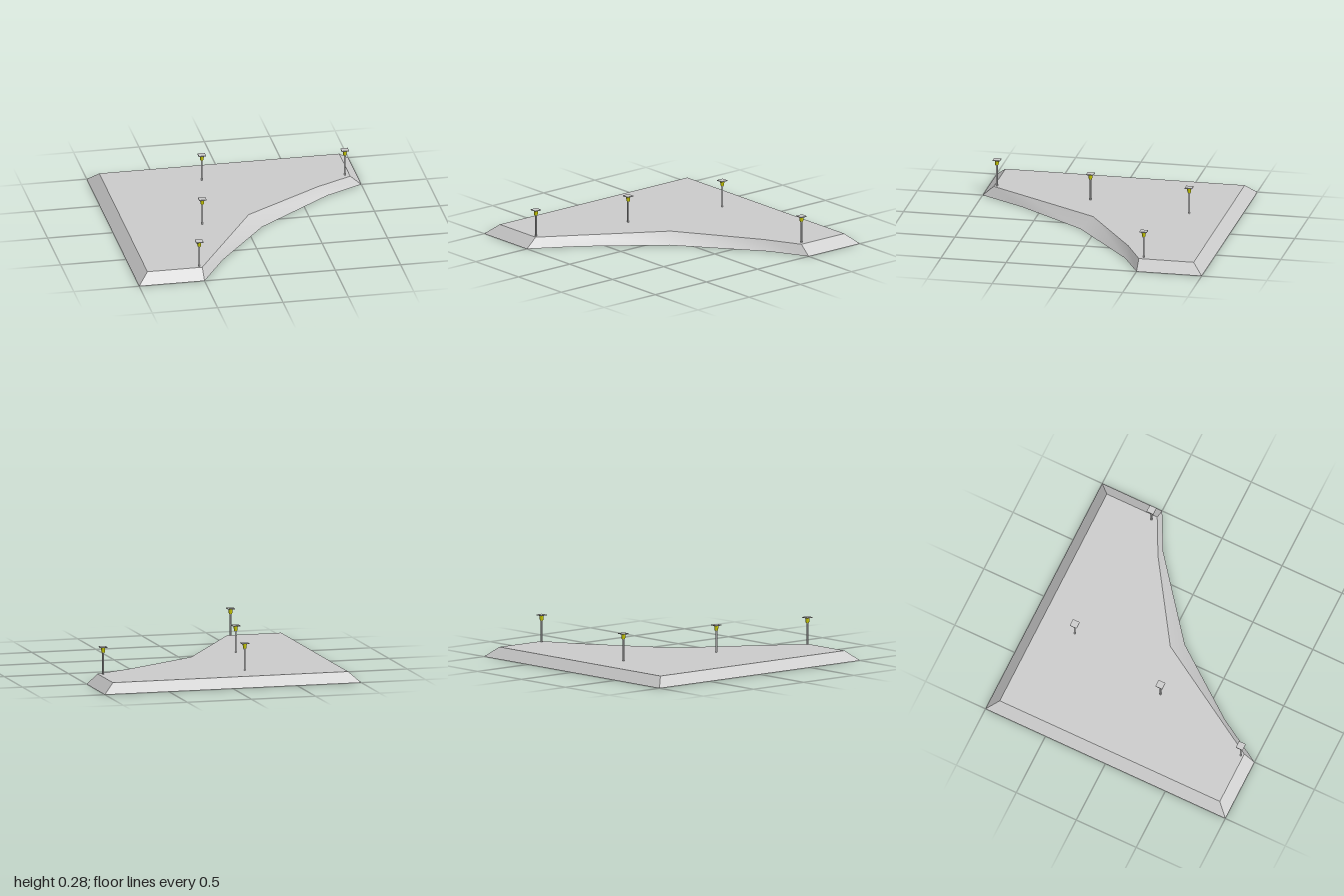
import * as THREE from 'three';
import { toCreasedNormals } from 'three/addons/utils/BufferGeometryUtils.js';

const TOP = 0.075;

// Ground outline and raised outline [x, z], matched corner by corner
const base = [[-1, -1], [1, -1], [1, -0.5], [0.71, -0.35], [0.115, 0.12], [-0.29, 0.65], [-0.5, 1], [-1, 1]];
const rim = [[-0.92, -0.92], [0.915, -0.92], [0.915, -0.5], [0.64, -0.36], [0.03, 0.04], [-0.34, 0.65], [-0.5, 0.915], [-0.92, 0.915]];

export function createModel() {
  const model = new THREE.Group();
  model.name = 'litPlatform';
  const grey = new THREE.MeshStandardMaterial({ color: 0xcccccc });
  const shell = new THREE.MeshStandardMaterial({ color: 0xcccccc, side: THREE.DoubleSide });
  const yellow = new THREE.MeshStandardMaterial({ color: 0xcccc00 });

  const add = (parent, name, geometry, material, y = 0) => {
    const mesh = new THREE.Mesh(geometry, material);
    mesh.name = name;
    mesh.position.y = y;
    parent.add(mesh);
    return mesh;
  };

  // Flat deck
  const deck = new THREE.ShapeGeometry(new THREE.Shape(rim.map(([x, z]) => new THREE.Vector2(x, -z))));
  deck.rotateX(-Math.PI / 2);
  add(model, 'deck', deck, shell, TOP);

  // Sloping sides, open underneath
  const points = [];
  base.forEach((b, i) => {
    const j = (i + 1) % base.length;
    const b0 = [b[0], 0, b[1]], b1 = [base[j][0], 0, base[j][1]];
    const t0 = [rim[i][0], TOP, rim[i][1]], t1 = [rim[j][0], TOP, rim[j][1]];
    points.push(...b0, ...t0, ...t1, ...b0, ...t1, ...b1);
  });
  const slopes = new THREE.BufferGeometry();
  slopes.setAttribute('position', new THREE.Float32BufferAttribute(points, 3));
  add(model, 'slopingSides', toCreasedNormals(slopes, 0.6), shell);

  // Lamp posts: pole, collar, lantern and square cap
  const poleGeo = new THREE.CylinderGeometry(0.007, 0.007, 0.175, 12);
  const collarGeo = new THREE.CylinderGeometry(0.012, 0.008, 0.008, 12);
  const lanternGeo = new THREE.CylinderGeometry(0.017, 0.013, 0.036, 12);
  const capGeo = new THREE.BoxGeometry(0.056, 0.006, 0.056);
  for (const [x, z] of [[-0.52, 0.895], [-0.345, 0.14], [-0.19, -0.65], [0.88, -0.53]]) {
    const lamp = new THREE.Group();
    lamp.name = 'lampPost';
    lamp.position.set(x, 0, z);
    add(lamp, 'pole', poleGeo, grey, 0.1575);
    add(lamp, 'collar', collarGeo, grey, 0.239);
    add(lamp, 'lantern', lanternGeo, yellow, 0.26);
    add(lamp, 'cap', capGeo, grey, 0.281);
    model.add(lamp);
  }
  return model;
}
